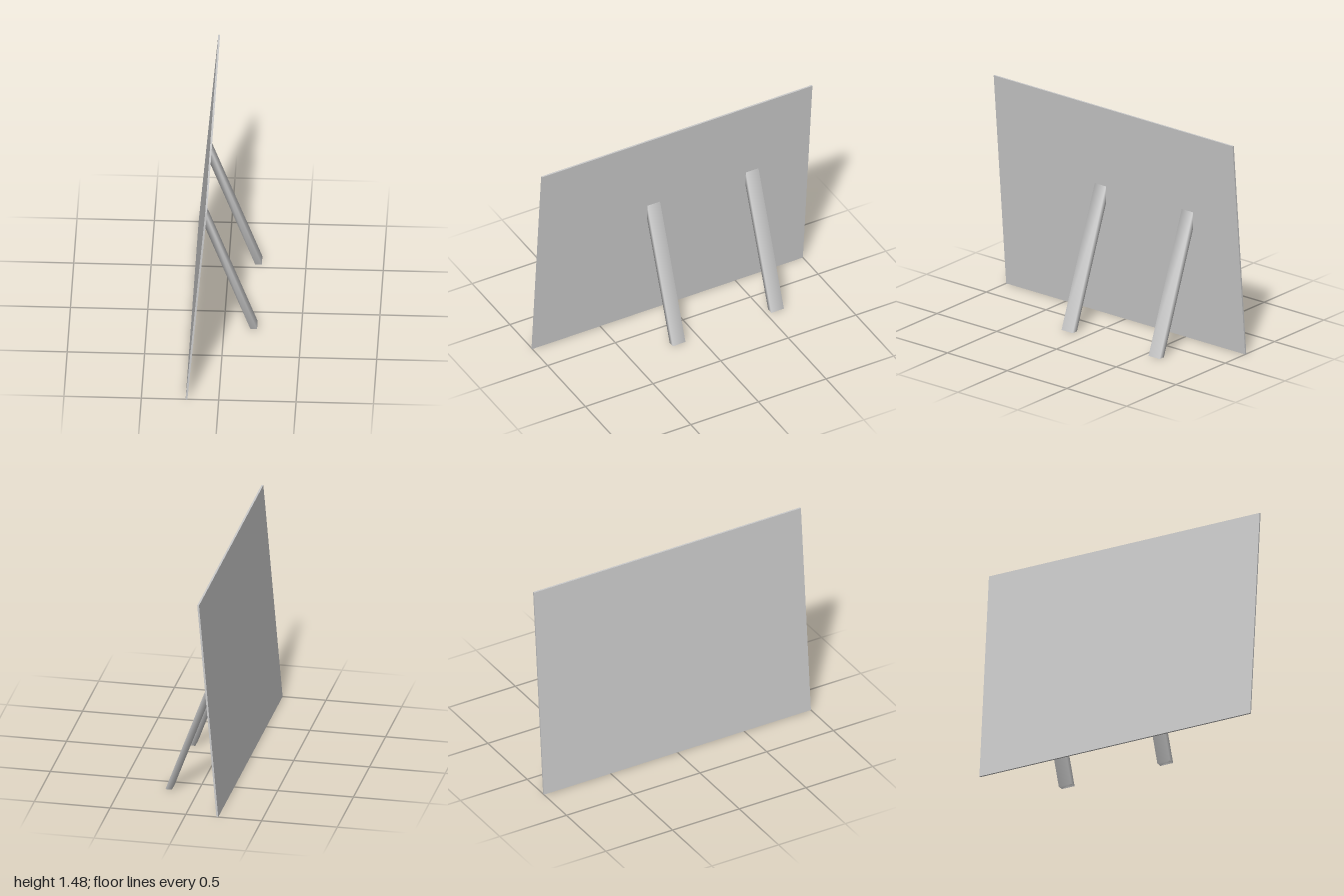
import * as THREE from 'three';
import { mergeVertices } from 'three/addons/utils/BufferGeometryUtils.js';

const material = new THREE.MeshStandardMaterial({ color: 0xcccccc });

// Extrudes an x/y side profile along z, centred on the given z
function profilePart(name, points, depth, z, smooth = false) {
  const shape = new THREE.Shape(points.map(([x, y]) => new THREE.Vector2(x, y)));
  let geometry = new THREE.ExtrudeGeometry(shape, { depth, bevelEnabled: false });
  geometry.translate(0, 0, z - depth / 2);
  if (smooth) {
    // Shared corners give the soft shading across the edges
    geometry.deleteAttribute('normal');
    geometry.deleteAttribute('uv');
    geometry = mergeVertices(geometry);
    geometry.computeVertexNormals();
  }
  const mesh = new THREE.Mesh(geometry, material);
  mesh.name = name;
  return mesh;
}

export function createModel() {
  const model = new THREE.Group();
  model.name = 'leaningBoard';

  // Thin board tilted towards +x
  const boardProfile = [[-0.214, 0], [-0.202, 0], [-0.075, 1.477], [-0.087, 1.477]];
  model.add(profilePart('board', boardProfile, 2, 0));

  // Two slanted props, cut level at the floor and upright against the board
  const propProfile = [[0.171, 0], [0.214, 0], [-0.126, 0.923], [-0.126, 0.803]];
  [['frontProp', 0.147], ['rearProp', -0.581]].forEach(([name, z]) => {
    model.add(profilePart(name, propProfile, 0.093, z, true));
  });

  return model;
}
